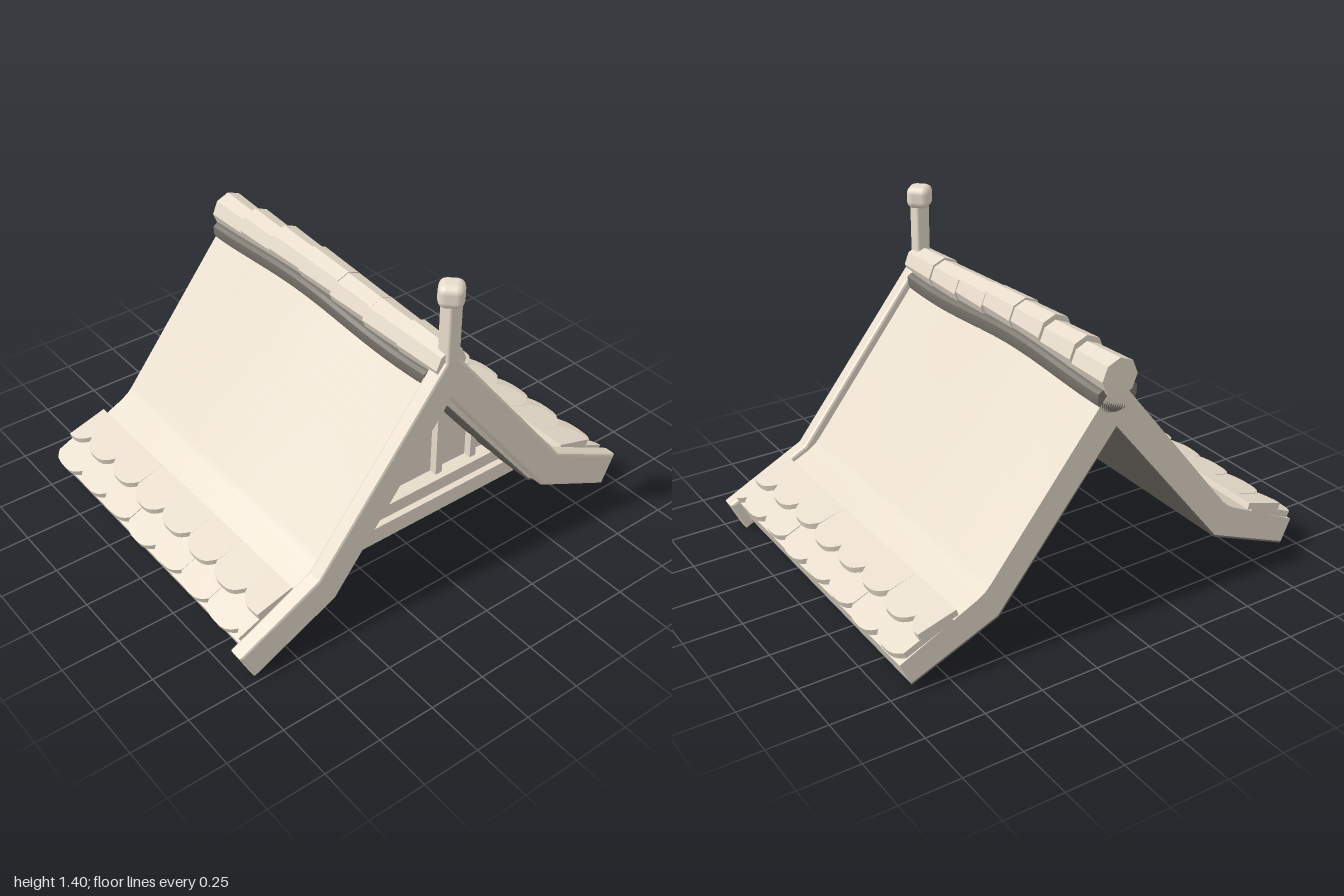
import * as THREE from 'three';
import { toCreasedNormals } from 'three/addons/utils/BufferGeometryUtils.js';
import { RoundedBoxGeometry } from 'three/addons/geometries/RoundedBoxGeometry.js';

const LEFT = -0.745, RIGHT = 0.665;          // ends of the roof along the ridge

function material(name, color) {
  const m = new THREE.MeshStandardMaterial({ color });
  m.name = name;
  return m;
}
const stone = material('warmStone', 0xe8ddcc);
const shade = material('darkStone', 0x7a756c);
const slatGrey = material('slatGrey', 0xa8a195);

// gentle rise and fall of the ridge line
const wave = x => 0.015 * Math.cos((2 * Math.PI * (x + 0.15)) / 1.2);

function add(parent, name, geometry, x = 0, y = 0, z = 0, mat = stone) {
  const mesh = new THREE.Mesh(geometry, mat);
  mesh.name = name;
  mesh.position.set(x, y, z);
  parent.add(mesh);
  return mesh;
}

const box = (parent, name, [x0, x1], [y0, y1], [z0, z1], mat) =>
  add(parent, name, new THREE.BoxGeometry(x1 - x0, y1 - y0, z1 - z0),
    (x0 + x1) / 2, (y0 + y1) / 2, (z0 + z1) / 2, mat);

// closed symmetric outline from one half, given as [z, y] pairs
function mirrored(half) {
  const other = half.filter(p => p[0] !== 0).map(([z, y]) => [-z, y]).reverse();
  return new THREE.Shape([...half, ...other].map(([z, y]) => new THREE.Vector2(z, y)));
}

// outline of an open band: outer line down one side, inner line back up
function band(outer, inner) {
  const flip = pts => pts.slice(1).map(([z, y]) => [-z, y]);
  const pts = [...outer, ...[...inner].reverse(), ...flip(inner), ...flip(outer).reverse()];
  return new THREE.Shape(pts.map(([z, y]) => new THREE.Vector2(z, y)));
}

// cross-section in z/y extruded along x
function alongX(shape, x0, x1, steps = 1, bevel = 0) {
  const g = new THREE.ExtrudeGeometry(shape, {
    depth: x1 - x0 - 2 * bevel, steps, bevelEnabled: bevel > 0, bevelSize: bevel,
    bevelThickness: bevel, bevelOffset: -bevel, bevelSegments: 2,
  });
  return g.rotateY(Math.PI / 2).translate(x0 + bevel, 0, 0);
}

// lift vertices by the ridge wave, fading out towards the eaves
function sway(g, base, span) {
  const p = g.attributes.position;
  for (let i = 0; i < p.count; i++) {
    const k = THREE.MathUtils.clamp((p.getY(i) - base) / span, 0, 1);
    p.setY(i, p.getY(i) + k * wave(p.getX(i)));
  }
  g.computeVertexNormals();
  return toCreasedNormals(g, 0.4);
}

// one eave tile: straight sides and a rounded tail, cut off at the roof ends
function tileGeometry(cx, pitch, length, scallop, thickness, x0, x1) {
  const a = Math.max(cx - pitch / 2, x0), b = Math.min(cx + pitch / 2, x1);
  const pts = [new THREE.Vector2(a, 0), new THREE.Vector2(b, 0)];
  for (let i = 0; i <= 12; i++) {
    const x = b + ((a - b) * i) / 12;
    const t = Math.abs((x - cx) / (pitch / 2));
    pts.push(new THREE.Vector2(x, length - scallop * t ** 3));
  }
  return new THREE.ExtrudeGeometry(new THREE.Shape(pts), { depth: thickness, bevelEnabled: false });
}

function eaveTiles(side) {
  const group = new THREE.Group();
  group.name = side > 0 ? 'frontEaveTiles' : 'backEaveTiles';
  if (side < 0) group.rotation.y = Math.PI;
  const x0 = side > 0 ? LEFT : -RIGHT, x1 = side > 0 ? RIGHT : -LEFT;
  const pitch = 0.196;
  const rows = [
    { name: 'lowerTile', first: -0.65, z: 0.735, y: 0.27, tilt: 0.42, length: 0.26, scallop: 0.04 },
    { name: 'upperTile', first: -0.745, z: 0.71, y: 0.288, tilt: 0.29, length: 0.178, scallop: 0.055 },
  ];
  for (const r of rows) {
    for (let i = 0; i < 8; i++) {
      const cx = side * (r.first + i * pitch);
      if (cx - pitch / 2 > x1 - 0.01 || cx + pitch / 2 < x0 + 0.01) continue;
      const vary = Math.sin(i * 2.3 + side);
      const g = tileGeometry(cx, pitch, r.length + 0.006 * vary, r.scallop, 0.028, x0, x1);
      add(group, r.name, g.rotateX(Math.PI / 2 + r.tilt + 0.012 * vary), 0, r.y, r.z);
    }
  }
  return group;
}

export function createModel() {
  const model = new THREE.Group();
  model.name = 'gabledRoof';

  // roof shell, open underneath, with flared eaves
  const soffit = [[0, 0.86], [0.53, 0.195], [0.91, 0.038]];
  const shell = band(
    [[0, 1.06], [0.56, 0.347], [0.585, 0.32], [0.62, 0.297], [0.955, 0.135]], soffit);
  add(model, 'roofShell', sway(alongX(shell, LEFT, RIGHT, 24), 0.25, 0.6));

  // thin dark lining on the underside
  const lining = band(soffit, [[0, 0.852], [0.526, 0.188], [0.907, 0.031]]);
  add(model, 'roofLining', sway(alongX(lining, LEFT, RIGHT, 24), 0.25, 0.6), 0, 0, 0, shade);

  // bent board along the gable edge
  const board = band(
    [[0, 1.075], [0.035, 1.065], [0.63, 0.32], [1, 0.135]], [[0, 0.89], [0.55, 0.185], [0.935, 0]]);
  add(model, 'gableBoard', toCreasedNormals(alongX(board, 0.66, 0.728, 1, 0.012), 0.25));

  // dark ridge beam under the cap tiles
  const beam = mirrored([
    [0, 1.03], [0.075, 1.022], [0.089, 1.012], [0.089, 0.978], [0.07, 0.932], [0, 0.92],
  ]);
  add(model, 'ridgeBeam', sway(alongX(beam, LEFT, RIGHT, 24), 0.5, 0.3), 0, 0, 0, shade);

  // overlapping eight-sided ridge caps
  const ridge = new THREE.Group();
  ridge.name = 'ridgeCaps';
  model.add(ridge);
  for (let i = 0; i < 7; i++) {
    const x0 = -0.757 + i * 0.208, x1 = i === 6 ? 0.715 : x0 + 0.225;
    const cap = new THREE.CylinderGeometry(0.073, 0.081, x1 - x0, 8);
    cap.rotateZ(-Math.PI / 2);                // narrow end towards +x
    const mid = (x0 + x1) / 2;
    const mesh = add(ridge, 'ridgeCap', toCreasedNormals(cap, 0.3), mid, 1.06 + wave(Math.min(mid, 0.45)), 0);
    mesh.rotation.z = -0.015;
  }

  model.add(eaveTiles(1), eaveTiles(-1));

  // finial post and its diamond-set head
  const finial = new THREE.Group();
  finial.name = 'finial';
  model.add(finial);
  add(finial, 'finialPost', new RoundedBoxGeometry(0.064, 0.29, 0.064, 2, 0.01), 0.698, 1.195, 0);
  const head = add(finial, 'finialHead', new RoundedBoxGeometry(0.102, 0.098, 0.102, 2, 0.032), 0.695, 1.349, 0);
  head.rotation.y = Math.PI / 4;

  // recessed gable wall with beams, studs and vent
  const gable = new THREE.Group();
  gable.name = 'gableWall';
  model.add(gable);
  add(gable, 'wallPanel', alongX(mirrored([[0, 0.9], [0.54, 0.205]]), 0.395, 0.425));
  box(gable, 'tieBeam', [0.41, 0.505], [0.1, 0.178], [-0.598, 0.598]);
  box(gable, 'beamGap', [0.41, 0.475], [0.17, 0.2], [-0.555, 0.555], shade);
  box(gable, 'sillBeam', [0.405, 0.49], [0.195, 0.255], [-0.53, 0.53]);
  for (const s of [-1, 1]) {
    box(gable, 'tallStud', [0.415, 0.46], [0.25, 0.605], [s * 0.2 - 0.017, s * 0.2 + 0.017]);
    box(gable, 'shortStud', [0.415, 0.46], [0.25, 0.375], [s * 0.39 - 0.016, s * 0.39 + 0.016]);
  }
  box(gable, 'ventBack', [0.415, 0.433], [0.487, 0.615], [-0.11, 0.11]);
  for (let i = 0; i < 3; i++) {
    const y = 0.516 + i * 0.046;
    const slat = box(gable, 'ventSlat', [0.42, 0.46], [y - 0.006, y + 0.006], [-0.12, 0.12], slatGrey);
    slat.rotation.z = -0.5;
  }

  return model;
}
